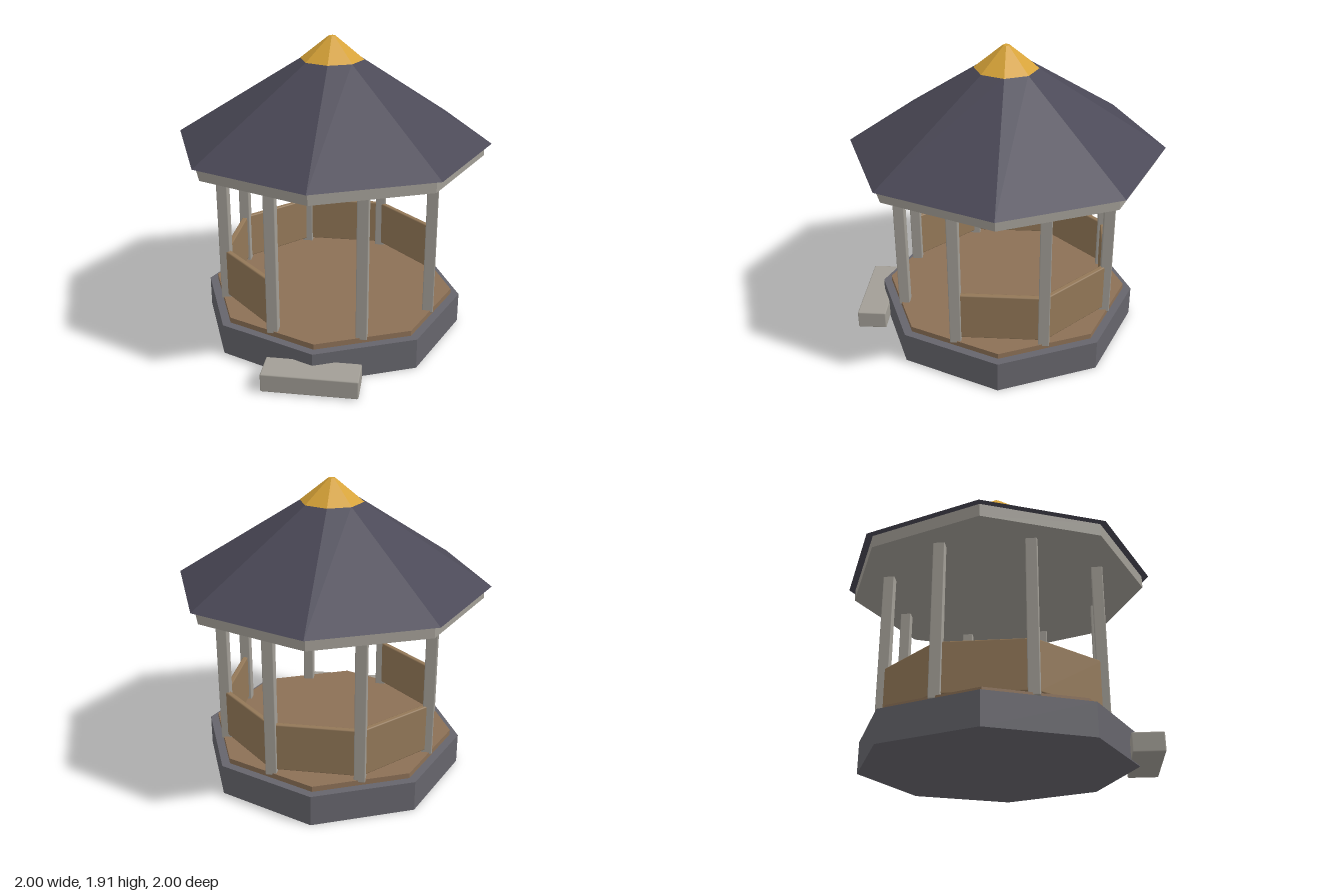
import * as THREE from 'three';
import { RoundedBoxGeometry } from 'three/addons/geometries/RoundedBoxGeometry.js';

const mat = (name, color, flat = false) => {
  const m = new THREE.MeshStandardMaterial({ color, flatShading: flat });
  m.name = name;
  return m;
};

export function createModel() {
  const group = new THREE.Group();
  const slate = mat('slate', 0x4a4856, true);
  const stone = mat('stone', 0x66656c, true);
  const boards = mat('floorBoards', 0x8c7056, true);
  const wood = mat('railWood', 0x937858);
  const pale = mat('paleWood', 0xa29e96);
  const paleFlat = mat('paleTrim', 0xa29e96, true);
  const gold = mat('gold', 0xd6a237, true);

  const add = (name, geometry, material, x, y, z, turn = 0) => {
    const mesh = new THREE.Mesh(geometry, material);
    mesh.name = name;
    mesh.position.set(x, y, z);
    mesh.rotation.y = turn;
    group.add(mesh);
  };

  // Eight-sided layers, corners on the axes
  const layer = (name, rTop, rBottom, y0, y1, material) =>
    add(name, new THREE.CylinderGeometry(rTop, rBottom, y1 - y0, 8), material, 0, (y0 + y1) / 2, 0);
  layer('base', 0.855, 0.855, 0, 0.2, stone);
  layer('deck', 0.8, 0.8, 0.2, 0.235, boards);
  layer('eavesBeam', 0.957, 0.957, 1.19, 1.268, paleFlat);
  layer('roof', 0.195, 1, 1.268, 1.775, slate);
  layer('roofCap', 0.022, 0.2, 1.773, 1.915, gold);

  // Square posts between the deck corners, all facing the front
  const postShape = new RoundedBoxGeometry(0.07, 0.98, 0.07, 1, 0.006);
  for (let i = 0; i < 8; i++) {
    const a = (i + 0.5) * Math.PI / 4;
    add('post', postShape, pale, 0.71 * Math.sin(a), 0.71, 0.71 * Math.cos(a));
  }

  // Rail panels, leaving the front and front-left bays open
  const panelShape = new RoundedBoxGeometry(0.505, 0.312, 0.035, 1, 0.008);
  for (let i = 2; i < 8; i++) {
    const a = i * Math.PI / 4;
    add('railPanel', panelShape, wood, 0.655 * Math.sin(a), 0.407, 0.655 * Math.cos(a), a);
  }

  // Entrance step
  add('step', new RoundedBoxGeometry(0.58, 0.118, 0.19, 1, 0.008), pale, 0, 0.065, 0.89);

  return group;
}
